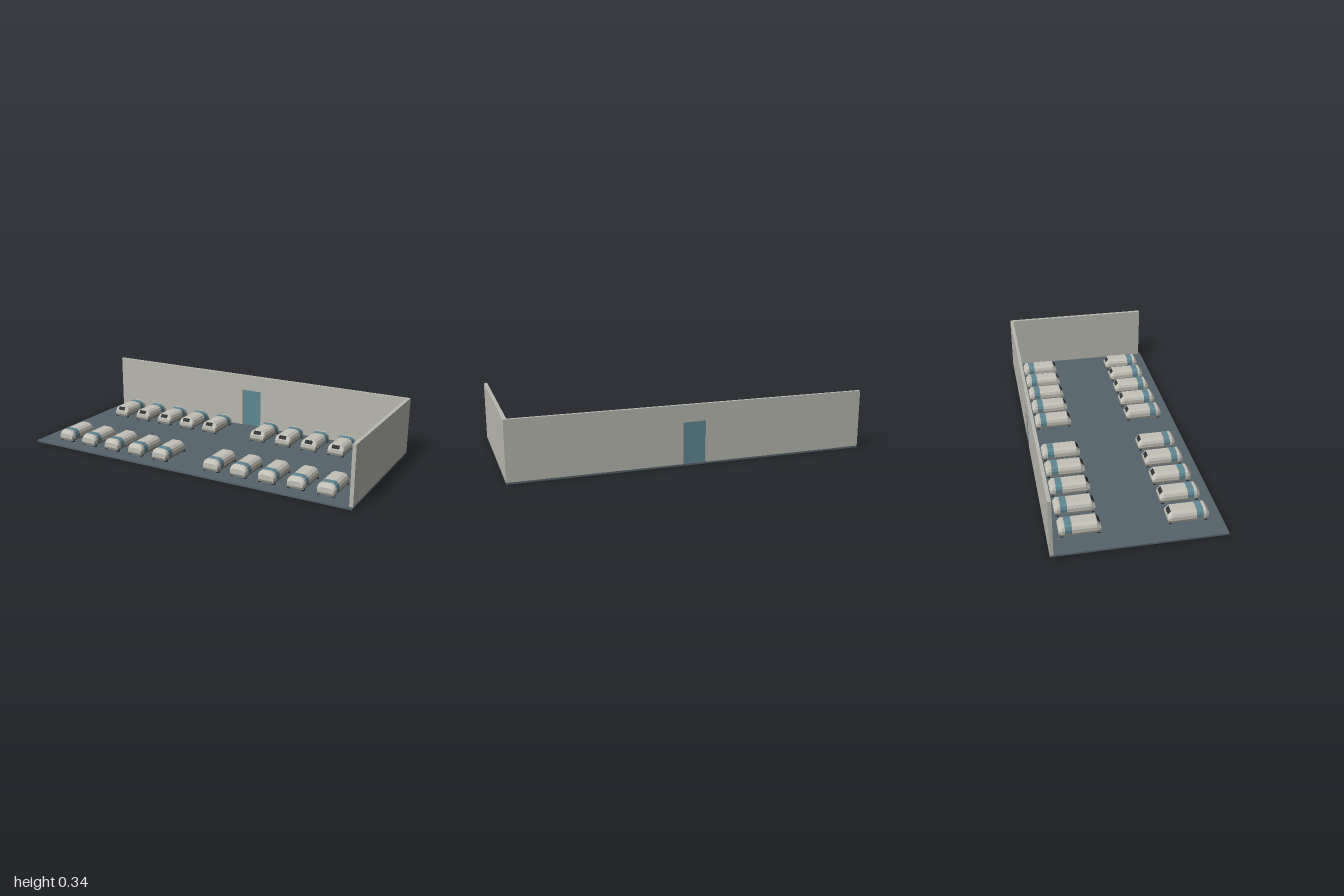
import * as THREE from 'three';

const mat = (name, color) => {
  const m = new THREE.MeshStandardMaterial({ color });
  m.name = name;
  return m;
};

export function createModel() {
  const wallMat = mat('warm grey wall', 0xb8b8b0);
  const floorMat = mat('slate floor', 0x56636b);
  const glassMat = mat('blue glass', 0x5f8794);
  const shellMat = mat('pale shell', 0xc2c0b6);
  const baseMat = mat('grey base', 0x85867f);
  const darkMat = mat('dark trim', 0x2e3335);

  const room = new THREE.Group();
  room.name = 'room';

  const add = (parent, name, geometry, material, x = 0, y = 0, z = 0) => {
    const mesh = new THREE.Mesh(geometry, material);
    mesh.name = name;
    mesh.position.set(x, y, z);
    parent.add(mesh);
    return mesh;
  };
  const box = (parent, name, material, [w, h, d], [x, y, z]) =>
    add(parent, name, new THREE.BoxGeometry(w, h, d), material, x, y, z);

  // Floor and side wall
  box(room, 'floor', floorMat, [2, 0.01, 0.9], [0, 0.005, 0]);
  box(room, 'sideWall', wallMat, [0.02, 0.325, 0.87], [0.99, 0.1725, 0]);

  // Back wall with a doorway cut through it
  const outline = new THREE.Shape([
    [-1, 0.01], [-0.065, 0.01], [-0.065, 0.24], [0.063, 0.24], [0.063, 0.01],
    [0.98, 0.01], [0.98, 0.335], [-1, 0.335],
  ].map(([x, y]) => new THREE.Vector2(x, y)));
  const backGeo = new THREE.ExtrudeGeometry(outline, { depth: 0.018, bevelEnabled: false });
  add(room, 'backWall', backGeo, wallMat, 0, 0, -0.45);
  // The side wall covers the end of the back wall
  box(room, 'sideWallCorner', wallMat, [0.02, 0.325, 0.015], [0.99, 0.1725, -0.4425]);
  box(room, 'door', glassMat, [0.128, 0.23, 0.008], [-0.001, 0.125, -0.441]);

  // Faceted arch section of a pod, grown outwards by g
  const arch = (g) => {
    const half = [[0.05 + g, 0.03], [0.05 + g, 0.051], [0.043 + g, 0.066 + g], [0.027 + g / 2, 0.077 + g]];
    const left = half.map(([x, y]) => [-x, y]).reverse();
    return new THREE.Shape([...half, ...left].map(([x, y]) => new THREE.Vector2(x, y)));
  };

  // Shell: arch swept along z, lowered and narrowed at both ends
  const stations = [
    { z: -0.108, w: 0.88, h: 0.6 },
    { z: -0.092, w: 1, h: 1 },
    { z: 0.085, w: 1, h: 1 },
    { z: 0.106, w: 0.9, h: 0.45 },
  ];
  const shellGeo = new THREE.ExtrudeGeometry(arch(0), { depth: 3, steps: 3, bevelEnabled: false });
  const p = shellGeo.attributes.position;
  for (let i = 0; i < p.count; i++) {
    const s = stations[Math.round(p.getZ(i))];
    p.setXYZ(i, p.getX(i) * s.w, 0.03 + (p.getY(i) - 0.03) * s.h, s.z);
  }
  shellGeo.computeVertexNormals();
  const bandGeo = new THREE.ExtrudeGeometry(arch(0.0012), { depth: 0.035, bevelEnabled: false });

  const makePod = () => {
    const pod = new THREE.Group();
    pod.name = 'sleepingPod';
    add(pod, 'shell', shellGeo, shellMat);
    add(pod, 'glassBand', bandGeo, glassMat, 0, 0, -0.077);
    box(pod, 'base', baseMat, [0.094, 0.014, 0.206], [0, 0.024, 0]);
    // Control panel on the sloping foot end
    const panel = box(pod, 'controlPanel', darkMat, [0.046, 0.003, 0.023], [0, 0.0642, 0.0955]);
    panel.rotation.x = Math.atan2(0.0259, 0.021);
    // Feet
    for (const x of [-0.04, 0.04])
      for (const z of [-0.093, 0.093])
        box(pod, 'foot', darkMat, [0.014, 0.009, 0.016], [x, 0.0135, z]);
    return pod;
  };

  // Two rows of ten, feet towards the aisle
  for (const side of [-1, 1])
    for (let i = 1; i <= 5; i++)
      for (const row of [-1, 1]) {
        const pod = makePod();
        pod.position.set(side * i * 0.1665, 0, row === -1 ? -0.281 : 0.272);
        if (row === 1) pod.rotation.y = Math.PI;
        room.add(pod);
      }

  return room;
}
